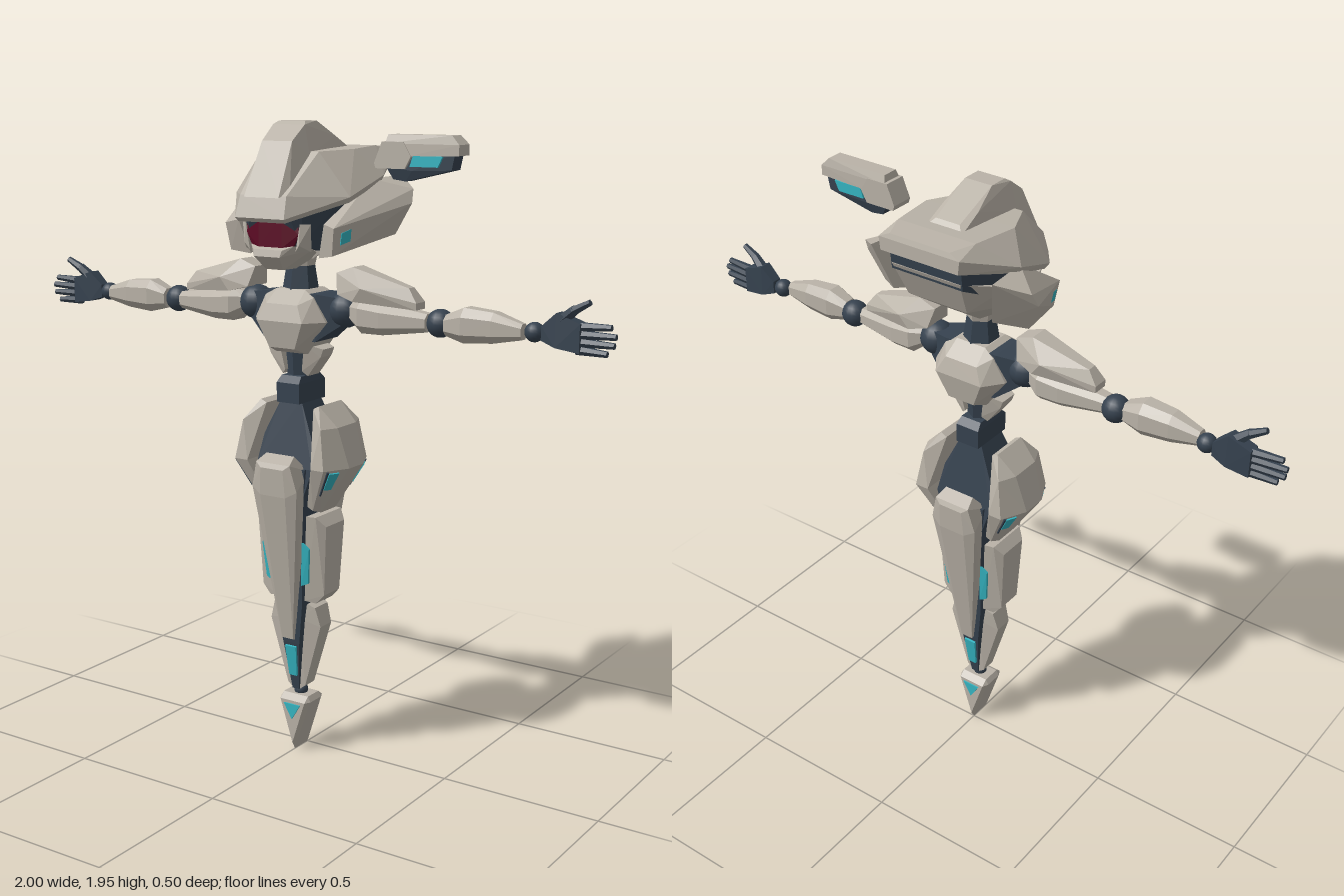
import * as THREE from 'three';
import { ConvexGeometry } from 'three/addons/geometries/ConvexGeometry.js';

const mat = (name, color) => Object.assign(new THREE.MeshStandardMaterial({ color }), { name });
const bone = mat('bone shell', 0xb9b2a7);
const dark = mat('dark slate', 0x36424f);
const cyan = mat('cyan glow', 0x35b5c2);
const red = mat('visor red', 0x5c0a24);

const V = (p) => new THREE.Vector3(...p);
// Mirrored copies to make: L = left and right, F = front and back
const COPIES = { one: [[1, 1]], L: [[1, 1], [-1, 1]], F: [[1, 1], [1, -1]], LF: [[1, 1], [-1, 1], [1, -1], [-1, -1]] };

function add(parent, name, geometry, material) {
  const mesh = new THREE.Mesh(geometry, material);
  mesh.name = name;
  parent.add(mesh);
  return mesh;
}

// Faceted block through the points; sym lists the axes it is symmetric in
function block(parent, name, material, pts, sym = '', copies = 'one') {
  let all = pts;
  if (sym.includes('x')) all = all.concat(all.map(([x, y, z]) => [-x, y, z]));
  if (sym.includes('z')) all = all.concat(all.map(([x, y, z]) => [x, y, -z]));
  for (const [sx, sz] of COPIES[copies]) {
    add(parent, name, new ConvexGeometry(all.map(([x, y, z]) => V([x * sx, y, z * sz]))), material);
  }
}

// Thin plate lying on a face
function inlay(parent, name, material, pts, copies = 'one') {
  const [a, b, c] = pts.map(V);
  const n = b.sub(a).cross(c.sub(a)).normalize().multiplyScalar(0.0045).toArray();
  const shift = (s) => pts.map((p) => p.map((v, i) => v + s * n[i]));
  block(parent, name, material, [...shift(1), ...shift(-1)], '', copies);
}

// Quad inside a four-cornered face
function inside([a, b, c, d], u0, u1, v0, v1) {
  const at = (u, v) => V(a).lerp(V(b), u).lerp(V(d).lerp(V(c), u), v).toArray();
  return [at(u0, v0), at(u1, v0), at(u1, v1), at(u0, v1)];
}

function ball(parent, name, p, r, copies = 'one') {
  for (const [sx] of COPIES[copies]) {
    add(parent, name, new THREE.SphereGeometry(r, 16, 12), dark).position.set(p[0] * sx, p[1], p[2]);
  }
}

// Tapered six-sided rod between two points
function rod(parent, name, material, a, b, ra, rb, copies = 'one') {
  for (const [sx] of COPIES[copies]) {
    const p = V([a[0] * sx, a[1], a[2]]), q = V([b[0] * sx, b[1], b[2]]);
    const g = new THREE.CylinderGeometry(rb, ra, p.distanceTo(q), 6).toNonIndexed();
    g.computeVertexNormals();
    const m = add(parent, name, g, material);
    m.quaternion.setFromUnitVectors(V([0, 1, 0]), q.clone().sub(p).normalize());
    m.position.copy(p).lerp(q, 0.5);
  }
}

// Arm shell from eight-sided stations [x, y, halfHeight, halfDepth]
function armShell(parent, name, stations) {
  const pts = stations.flatMap(([x, y, h, d]) => [1, -1].flatMap((s) => [[x, y + s * h, d * 0.5], [x, y + s * h * 0.5, d]]));
  block(parent, name, bone, pts, 'z', 'L');
}

function buildHead() {
  const g = new THREE.Group();
  g.name = 'head';
  // Helmet rim sits on a plane that rises towards the back
  const rim = (x, z, drop = 0) => [x, 1.675 + (0.25 - z) * 0.35 - drop, z];
  block(g, 'helmet', bone, [
    rim(0.085, 0.245), rim(0.2, 0.08), rim(0.215, -0.08), rim(0.135, -0.25),
    rim(0.08, 0.235, 0.015), rim(0.19, 0.07, 0.02), rim(0.205, -0.08, 0.02), rim(0.13, -0.25, 0.04),
    [0.08, 1.74, 0.225], [0.1, 1.86, 0.09], [0.15, 1.865, -0.02], [0.13, 1.87, -0.17], [0.1, 1.865, -0.245],
  ], 'x');
  block(g, 'crest', bone, [
    [0.06, 1.735, 0.235], [0.075, 1.75, 0.2], [0.052, 1.89, 0.155], [0.055, 1.935, 0.095], [0.045, 1.945, 0.08],
    [0.045, 1.945, 0.02], [0.058, 1.9, -0.06], [0.075, 1.85, 0.1], [0.06, 1.86, -0.14], [0.04, 1.88, -0.12],
  ], 'x');
  block(g, 'neckBand', dark, [
    rim(0.07, 0.2, 0.01), rim(0.17, 0.06, 0.01), rim(0.18, -0.08, 0.01), rim(0.12, -0.225, 0.02),
    [0.12, 1.745, -0.215], [0.16, 1.68, -0.08], [0.11, 1.58, 0.1], [0.09, 1.6, 0.165], [0.1, 1.68, 0.175],
  ], 'x');
  block(g, 'skullBowl', bone, [
    [0.115, 1.765, -0.222], [0.185, 1.73, -0.1], [0.1, 1.655, -0.17], [0.165, 1.65, -0.05],
    [0.07, 1.585, -0.07], [0.14, 1.6, 0.07], [0.06, 1.55, 0.06], [0.17, 1.7, 0.04],
  ], 'x');
  block(g, 'visor', red, [
    [0.088, 1.685, 0.175], [0.09, 1.63, 0.18], [0.07, 1.59, 0.18], [0.04, 1.68, 0.192], [0.04, 1.59, 0.192], [0.08, 1.64, 0.12],
  ], 'x');
  block(g, 'chin', bone, [
    [0.075, 1.597, 0.18], [0.05, 1.585, 0.205], [0.045, 1.565, 0.21], [0.03, 1.525, 0.17],
    [0.035, 1.525, 0.11], [0.1, 1.585, 0.12], [0.06, 1.56, 0.03],
  ], 'x');
  block(g, 'cheek', bone, [
    [0.095, 1.66, 0.18], [0.12, 1.66, 0.16], [0.095, 1.6, 0.185], [0.115, 1.58, 0.15], [0.08, 1.58, 0.18], [0.1, 1.62, 0.13],
  ], '', 'L');
  // Side pods with glowing strips
  const face = [[0.285, 1.75, -0.13], [0.19, 1.65, 0.15], [0.178, 1.57, 0.14], [0.25, 1.62, -0.09]];
  block(g, 'sidePod', bone, [
    ...face, [0.293, 1.71, -0.11], [0.205, 1.785, -0.2], [0.17, 1.64, -0.15], [0.12, 1.56, 0.12], [0.15, 1.66, 0.14], [0.19, 1.78, -0.05],
  ], '', 'L');
  inlay(g, 'podStrip', cyan, inside(face, 0.22, 0.9, 0.28, 0.68), 'L');
  return g;
}

function buildTorso(g) {
  rod(g, 'neck', dark, [0, 1.43, 0], [0, 1.53, 0], 0.058, 0.042);
  rod(g, 'neckCollar', bone, [0, 1.515, 0], [0, 1.56, 0], 0.04, 0.05);
  block(g, 'chest', bone, [
    [0.05, 1.46, 0.05], [0.085, 1.44, 0.06], [0.125, 1.37, 0.055], [0.055, 1.27, 0.05],
    [0.055, 1.42, 0.1], [0.08, 1.37, 0.115], [0.045, 1.29, 0.1],
  ], 'xz');
  block(g, 'shoulderBar', dark, [[0.16, 1.44, 0.03], [0.16, 1.36, 0.03], [0.09, 1.45, 0.055], [0.09, 1.31, 0.06]], 'xz');
  block(g, 'rib', bone, [[0.045, 1.3, 0.05], [0.1, 1.285, 0.03], [0.09, 1.26, 0.03], [0.045, 1.2, 0.03], [0.03, 1.215, 0.04]], 'z', 'L');
  rod(g, 'abdomen', dark, [0, 1.1, 0], [0, 1.3, 0], 0.034, 0.046);
  block(g, 'waistJoint', dark, [[0.035, 1.2, 0.05], [0.04, 1.18, 0.07], [0.04, 1.12, 0.07]], 'xz');
}

function buildArms(g) {
  ball(g, 'shoulderBall', [0.16, 1.405, 0], 0.053, 'L');
  block(g, 'pauldron', bone, [
    [0.145, 1.515, 0.03], [0.2, 1.535, 0.03], [0.38, 1.485, 0.015], [0.41, 1.445, 0.025], [0.41, 1.425, 0.025],
    [0.16, 1.455, 0.05], [0.25, 1.48, 0.07], [0.22, 1.44, 0.065],
  ], 'z', 'L');
  armShell(g, 'upperArm', [[0.19, 1.405, 0.03, 0.035], [0.23, 1.395, 0.05, 0.055], [0.3, 1.39, 0.045, 0.05], [0.44, 1.39, 0.026, 0.028]]);
  ball(g, 'elbow', [0.47, 1.39, -0.01], 0.041, 'L');
  armShell(g, 'forearm', [[0.5, 1.39, 0.03, 0.03], [0.56, 1.395, 0.05, 0.043], [0.65, 1.395, 0.043, 0.036], [0.735, 1.39, 0.022, 0.02]]);
  ball(g, 'wrist', [0.76, 1.39, -0.015], 0.028, 'L');
  // Hands: palm, four fingers, thumb
  const z = -0.018;
  block(g, 'palm', dark, [
    [0.785, 1.41, z + 0.016], [0.785, 1.37, z + 0.016], [0.83, 1.45, z + 0.02], [0.83, 1.355, z + 0.024], [0.9, 1.425, z + 0.02], [0.9, 1.345, z + 0.02],
    [0.785, 1.41, z - 0.016], [0.785, 1.37, z - 0.016], [0.83, 1.45, z - 0.02], [0.83, 1.355, z - 0.024], [0.9, 1.425, z - 0.02], [0.9, 1.345, z - 0.02],
  ], '', 'L');
  [0.985, 0.999, 0.995, 0.975].forEach((tip, i) => {
    rod(g, 'finger', dark, [0.885, 1.415 - i * 0.021, z], [tip, 1.42 - i * 0.024, z + 0.004], 0.014, 0.009, 'L');
  });
  rod(g, 'thumbBase', dark, [0.83, 1.42, z], [0.88, 1.462, z + 0.01], 0.02, 0.014, 'L');
  rod(g, 'thumbTip', dark, [0.875, 1.458, z + 0.01], [0.925, 1.485, z + 0.014], 0.014, 0.009, 'L');
}

function buildLowerBody(g) {
  block(g, 'pelvis', dark, [[0.035, 1.13, 0.05], [0.085, 1.02, 0.07], [0.1, 0.93, 0.09], [0.06, 0.8, 0.1]], 'xz');
  // Hip shells, with upper and lower halves
  const face = [[0.2, 0.94, 0.04], [0.16, 0.94, 0.12], [0.09, 0.8, 0.07], [0.1, 0.79, 0.04]];
  block(g, 'hipUpper', bone, [
    [0.085, 1.11, 0.06], [0.105, 1.12, 0.06], [0.14, 1.06, 0.105], [0.165, 1.06, 0.05], [0.2, 0.94, 0.04], [0.16, 0.94, 0.12], [0.115, 0.94, 0.12],
  ], 'z', 'L');
  block(g, 'hipLower', bone, [...face, [0.115, 0.94, 0.12], [0.07, 0.81, 0.07]], 'z', 'L');
  inlay(g, 'hipGlow', cyan, inside(face, 0.35, 0.75, 0.06, 0.45), 'LF');
  inlay(g, 'hipTrim', dark, inside(face, 0.78, 0.86, 0.02, 0.6), 'LF');
  // Tapering core with armour on all four sides
  block(g, 'tailCore', dark, [[0.08, 0.93, 0.1], [0.065, 0.75, 0.09], [0.05, 0.5, 0.068], [0.03, 0.36, 0.055], [0.012, 0.2, 0.03]], 'xz');
  block(g, 'centrePlate', bone, [
    [0.05, 0.97, 0.11], [0.06, 0.95, 0.15], [0.04, 0.935, 0.157], [0.08, 0.87, 0.142], [0.045, 0.85, 0.152], [0.072, 0.78, 0.115],
    [0.075, 0.92, 0.07], [0.06, 0.7, 0.075], [0.05, 0.57, 0.085], [0.02, 0.38, 0.075], [0.012, 0.37, 0.05],
  ], 'x', 'F');
  block(g, 'sidePlate', bone, [[0.06, 0.78, 0.078], [0.1, 0.78, 0.07], [0.125, 0.75, 0.05], [0.113, 0.53, 0.042], [0.085, 0.5, 0.045], [0.05, 0.505, 0.055]], 'z', 'L');
  inlay(g, 'sideGlow', cyan, [[0.062, 0.7, 0.085], [0.085, 0.68, 0.081], [0.076, 0.57, 0.071], [0.053, 0.56, 0.075]], 'LF');
  block(g, 'lowerPlate', bone, [[0.05, 0.49, 0.04], [0.075, 0.48, 0.035], [0.092, 0.42, 0.03], [0.032, 0.215, 0.025], [0.012, 0.2, 0.025], [0.025, 0.44, 0.045]], 'z', 'L');
  inlay(g, 'tailGlow', cyan, [[0.02, 0.35, 0.056], [-0.02, 0.35, 0.056], [-0.014, 0.25, 0.041], [0.014, 0.25, 0.041]], 'F');
  ball(g, 'tipJoint', [0, 0.19, 0], 0.022);
  block(g, 'tailTip', bone, [[0.055, 0.165, 0.03], [0.045, 0.165, 0.05], [0.045, 0.182, 0.03], [0, 0.025, 0.05], [0, 0, 0.035]], 'xz');
  inlay(g, 'tipGlow', cyan, [[0.03, 0.155, 0.05], [-0.03, 0.155, 0.05], [0, 0.105, 0.05]], 'F');
}

// Small device floating beside the head, centred on its own z = 0
function buildDevice() {
  const g = new THREE.Group();
  g.name = 'floatingDevice';
  block(g, 'deviceBar', bone, [
    [0.285, 1.91, 0.025], [0.49, 1.91, 0.025], [0.515, 1.885, 0.03], [0.515, 1.855, 0.03], [0.35, 1.85, 0.034], [0.28, 1.885, 0.034],
  ], 'z');
  block(g, 'deviceGrip', bone, [[0.27, 1.89, 0.036], [0.34, 1.89, 0.036], [0.365, 1.85, 0.036], [0.345, 1.815, 0.036], [0.25, 1.815, 0.036], [0.245, 1.83, 0.036]], 'z');
  block(g, 'deviceBase', dark, [[0.28, 1.82, 0.028], [0.3, 1.785, 0.02], [0.34, 1.78, 0.02], [0.365, 1.81, 0.028], [0.49, 1.815, 0.025], [0.5, 1.86, 0.025], [0.3, 1.86, 0.025]], 'z');
  inlay(g, 'deviceStrip', cyan, [[0.37, 1.852, 0.029], [0.465, 1.852, 0.029], [0.45, 1.822, 0.029], [0.36, 1.822, 0.029]], 'F');
  g.position.z = -0.01;
  return g;
}

export function createModel() {
  const model = new THREE.Group();
  model.name = 'hoveringRobot';
  const body = new THREE.Group();
  body.name = 'body';
  body.position.z = 0.035;
  buildTorso(body);
  buildArms(body);
  buildLowerBody(body);
  model.add(buildHead(), body, buildDevice());
  return model;
}
